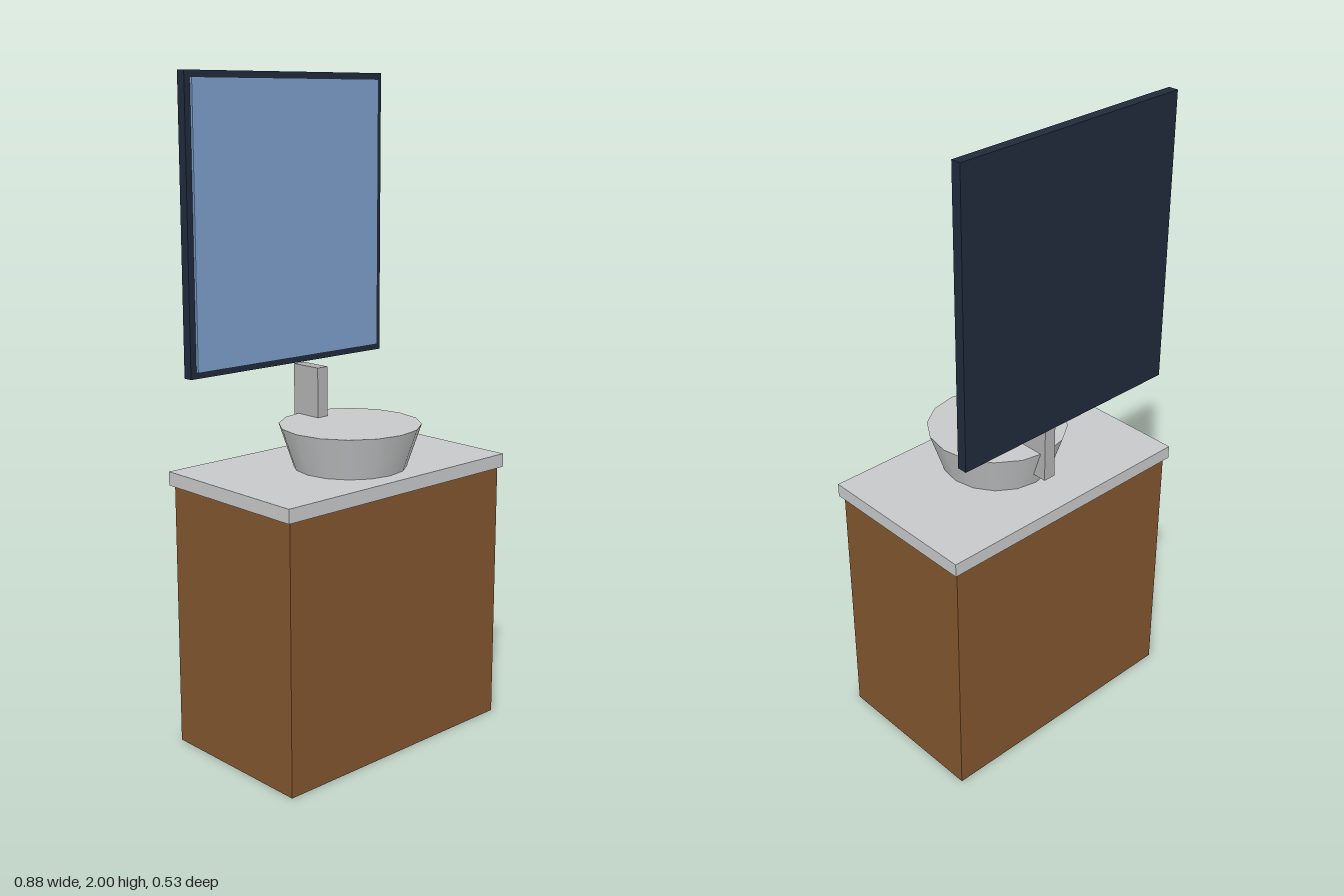
import * as THREE from 'three';

export function createModel() {
  const model = new THREE.Group();
  model.name = 'washstand';

  const material = (name, color) => {
    const m = new THREE.MeshStandardMaterial({ color });
    m.name = name;
    return m;
  };
  const wood = material('brown wood', 0x80552d);
  const ceramic = material('pale grey ceramic', 0xc7c8c9);
  const metal = material('grey metal', 0xb1b1b1);
  const dark = material('dark navy', 0x1f2a3b);
  const glass = material('blue glass', 0x7c9dc9);

  const add = (name, geometry, mat, x, y, z) => {
    const mesh = new THREE.Mesh(geometry, mat);
    mesh.name = name;
    mesh.position.set(x, y, z);
    model.add(mesh);
  };
  // Box centred on x, given by its width and its y and z ranges
  const addBox = (name, mat, width, y0, y1, z0, z1) =>
    add(name, new THREE.BoxGeometry(width, y1 - y0, z1 - z0), mat, 0, (y0 + y1) / 2, (z0 + z1) / 2);

  // Cabinet and countertop
  addBox('cabinet', wood, 0.854, 0, 0.81, -0.256, 0.256);
  addBox('countertop', ceramic, 0.88, 0.81, 0.852, -0.267, 0.267);

  // Tapered vessel basin with a closed top
  add('basin', new THREE.CylinderGeometry(0.213, 0.17, 0.128, 16), ceramic, 0, 0.916, 0.043);

  // Upright faucet block behind the basin
  addBox('faucet', metal, 0.04, 0.895, 1.133, -0.184, -0.077);

  // Mirror: dark backing frame with a glass panel standing proud of it
  addBox('mirrorFrame', dark, 0.77, 1.125, 2, -0.253, -0.222);
  addBox('mirrorGlass', glass, 0.73, 1.144, 1.981, -0.222, -0.213);

  return model;
}
